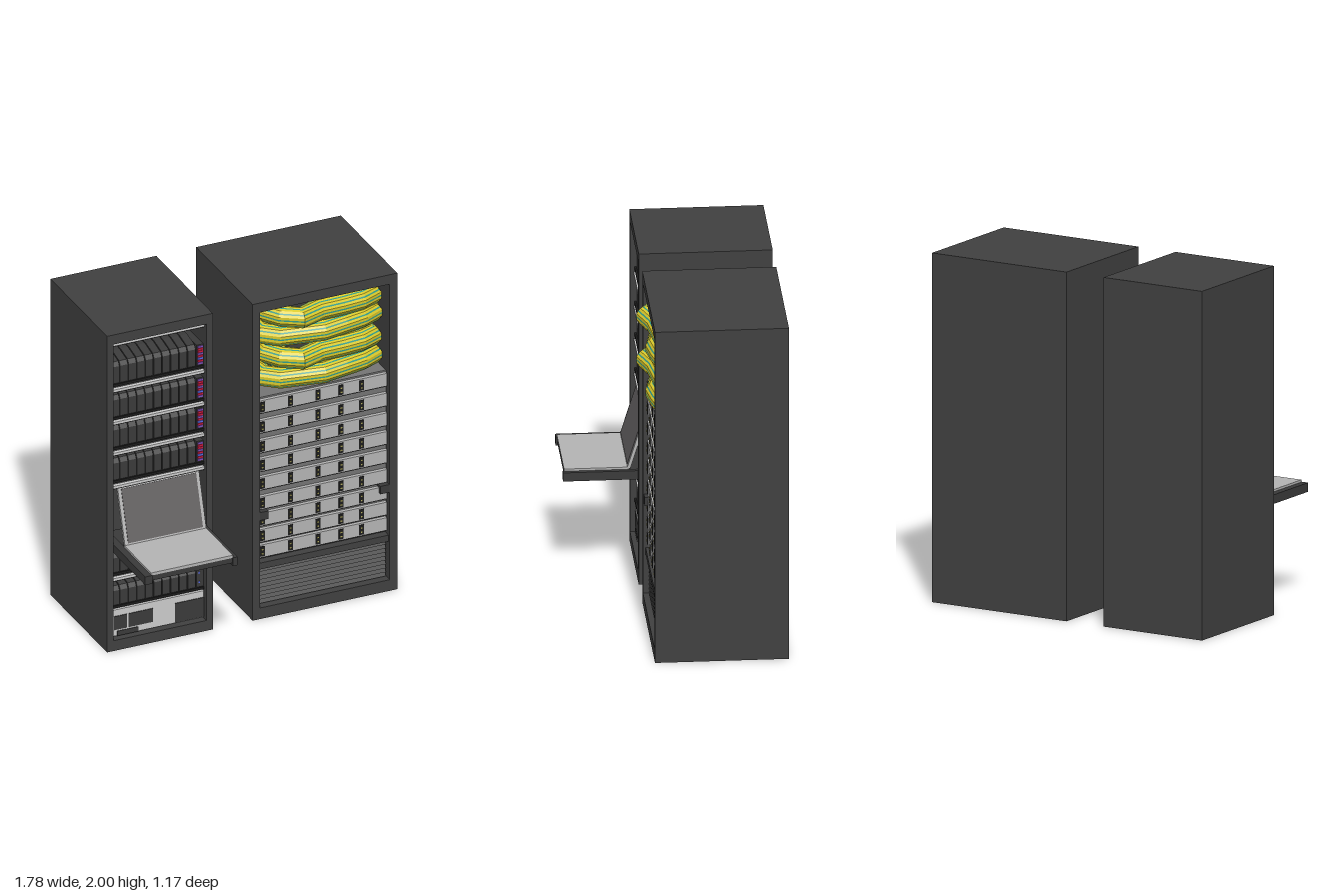
import * as THREE from 'three';

const mat = (color, side = THREE.FrontSide) =>
  new THREE.MeshStandardMaterial({ color, side, flatShading: true });
const M = {
  shell: mat(0x404040), dark: mat(0x3a3a3a), black: mat(0x1c1c1c), mid: mat(0x747474),
  light: mat(0xb4b4b4), pale: mat(0xcccccc), screen: mat(0x625f60),
  red: mat(0xd01840), violet: mat(0x8050c0), blue: mat(0x5a6cf0), lamp: mat(0xb8b060),
  yellow: mat(0xdccb2c, THREE.DoubleSide), teal: mat(0x2f9a8c, THREE.DoubleSide),
};
const FRONT = 0.165, BACK = -0.585;

// Box given by its limits on each axis
function box(parent, name, m, x0, x1, y0, y1, z0, z1) {
  const mesh = new THREE.Mesh(new THREE.BoxGeometry(x1 - x0, y1 - y0, z1 - z0), m);
  mesh.position.set((x0 + x1) / 2, (y0 + y1) / 2, (z0 + z1) / 2);
  mesh.name = name;
  parent.add(mesh);
  return mesh;
}

function group(parent, name) {
  const g = new THREE.Group();
  g.name = name;
  parent.add(g);
  return g;
}

function rect(Type, x0, x1, y0, y1) {
  return new Type([[x0, y0], [x1, y0], [x1, y1], [x0, y1]].map(p => new THREE.Vector2(...p)));
}

// Cabinet: a solid rear with a hollow front bay
function cabinet(parent, x0, x1, hole, bayBack) {
  const shape = rect(THREE.Shape, x0, x1, 0, 2);
  shape.holes.push(rect(THREE.Path, ...hole));
  const geo = new THREE.ExtrudeGeometry(shape, { depth: FRONT - bayBack, bevelEnabled: false });
  const frame = new THREE.Mesh(geo, M.shell);
  frame.position.z = bayBack;
  frame.name = 'cabinetFrame';
  parent.add(frame);
  box(parent, 'cabinetRear', M.shell, x0, x1, 0, 2, BACK, bayBack);
}

// Row of upright modules whose tops slope back
function bladeRow(parent, y0, y1, lights) {
  const row = group(parent, 'bladeRow');
  const n = 10, x0 = -0.85, pitch = 0.52 / n;
  const side = new THREE.Shape();
  [[-0.08, y0], [0.13, y0], [0.13, y1 - 0.025], [0.115, y1], [0.02, y1 + 0.02], [-0.08, y1 + 0.02]]
    .forEach(([z, y], i) => (i ? side.lineTo(-z, y) : side.moveTo(-z, y)));
  const geo = new THREE.ExtrudeGeometry(side, { depth: pitch - 0.005, bevelEnabled: false });
  for (let i = 0; i < n; i++) {
    const blade = new THREE.Mesh(geo, M.dark);
    blade.rotation.y = Math.PI / 2;
    blade.position.x = x0 + i * pitch;
    blade.name = 'blade';
    row.add(blade);
  }
  box(row, 'controlModule', M.dark, -0.33, -0.287, y0, y1, -0.08, 0.13);
  box(row, 'rowBase', M.black, -0.853, -0.287, y0 - 0.015, y0, -0.08, 0.14);
  if (lights) {
    const colors = [M.violet, M.red, M.blue, M.red, M.violet, M.red, M.red, M.violet];
    colors.forEach((m, i) => {
      const y = y0 + 0.008 + i * 0.0148;
      box(row, 'statusLight', m, -0.323, -0.292, y, y + 0.011, 0.13, 0.134);
    });
  } else {
    for (const y of [y0 + 0.025, y1 - 0.03])
      box(row, 'statusLight', M.blue, -0.318, -0.308, y, y + 0.01, 0.13, 0.134);
  }
}

// Band of a bundle's skin between two angles, swept along the path
function skin(points, radius, angles, m, name) {
  const rings = points.map((p, i) => {
    const a = points[Math.max(0, i - 1)], b = points[Math.min(points.length - 1, i + 1)];
    const t = b.clone().sub(a).normalize();
    const n = t.clone().cross(new THREE.Vector3(0, 1, 0)).normalize();
    const up = n.clone().cross(t);
    return angles.map(q => p.clone().addScaledVector(n, radius * Math.cos(q))
      .addScaledVector(up, radius * Math.sin(q)));
  });
  const v = [];
  for (let i = 0; i + 1 < rings.length; i++)
    for (let j = 0; j + 1 < angles.length; j++) {
      const [a, b, c, d] = [rings[i][j], rings[i + 1][j], rings[i + 1][j + 1], rings[i][j + 1]];
      for (const p of [a, b, c, a, c, d]) v.push(p.x, p.y, p.z);
    }
  const geo = new THREE.BufferGeometry();
  geo.setAttribute('position', new THREE.Float32BufferAttribute(v, 3));
  geo.computeVertexNormals();
  const mesh = new THREE.Mesh(geo, m);
  mesh.name = name;
  return mesh;
}

function cableBundle(parent, y, path) {
  const g = group(parent, 'cableBundle');
  const pts = path.map(([x, dy, z]) => new THREE.Vector3(x, y + dy, z));
  const sides = 10, step = Math.PI * 2 / sides;
  const angles = Array.from({ length: sides + 1 }, (_, i) => (i + 0.5) * step);
  g.add(skin(pts, 0.062, angles, M.yellow, 'cableSkin'));
  for (let i = 0; i < sides; i++) {
    const q = i * step;
    g.add(skin(pts, 0.0605, [q - 0.07, q + 0.07], M.teal, 'cableStripe'));
  }
}

function laptop(parent) {
  const g = group(parent, 'consoleTray');
  // Sliding rails and tray
  box(g, 'leftRail', M.dark, -0.315, -0.287, 0.62, 0.672, 0, 0.585);
  box(g, 'rightRail', M.dark, -0.855, -0.81, 0.62, 0.672, 0, 0.585);
  box(g, 'tray', M.dark, -0.82, -0.31, 0.635, 0.668, 0, 0.575);
  box(g, 'keyboardDeck', M.light, -0.815, -0.312, 0.668, 0.685, 0.215, 0.578);
  // Tilted screen
  const lid = group(g, 'screenLid');
  lid.position.set(-0.562, 0.68, 0.225);
  lid.rotation.x = -0.3;
  box(lid, 'screenBack', M.light, -0.25, 0.25, 0, 0.343, -0.018, 0);
  box(lid, 'screenPanel', M.screen, -0.23, 0.23, 0.015, 0.328, 0, 0.003);
}

export function createModel() {
  const model = new THREE.Group();
  model.name = 'serverRacks';

  // Narrow cabinet with blade rows and console
  const narrow = group(model, 'narrowRack');
  cabinet(narrow, -0.895, -0.245, [-0.855, -0.285, 0.065, 1.94], -0.08);
  for (const y of [1.67, 1.46, 1.27, 1.06]) bladeRow(narrow, y, y + 0.13, true);
  for (const y of [0.475, 0.268]) bladeRow(narrow, y, y + 0.115, false);
  for (const y of [1.925, 1.632, 1.427, 1.232, 1.022, 0.438]) {
    box(narrow, 'shelfLip', M.pale, -0.845, -0.287, y - 0.007, y + 0.007, 0.12, 0.145);
    box(narrow, 'shelf', M.dark, -0.853, -0.287, y - 0.015, y - 0.007, -0.08, 0.14);
  }
  laptop(narrow);

  // Power unit at the foot
  const power = group(narrow, 'powerUnit');
  box(power, 'powerFront', M.pale, -0.85, -0.287, 0.075, 0.24, -0.08, 0.135);
  for (const [x0, x1, y0, y1] of [[-0.84, -0.76, 0.115, 0.2], [-0.75, -0.6, 0.115, 0.2],
    [-0.465, -0.287, 0.08, 0.2], [-0.82, -0.69, 0.075, 0.105]])
    box(power, 'powerSocket', M.dark, x0, x1, y0, y1, 0.13, 0.139);

  // Wide cabinet with servers
  const wide = group(model, 'wideRack');
  cabinet(wide, 0, 0.89, [0.045, 0.843, 0.07, 1.94], -0.2);
  box(wide, 'serverBody', M.mid, 0.047, 0.841, 0.355, 1.375, -0.2, 0.118);
  for (const y of [1.325, 1.2, 1.075, 0.957, 0.84, 0.717, 0.612, 0.51, 0.412]) {
    const s = group(wide, 'server');
    box(s, 'serverFace', M.light, 0.047, 0.838, y - 0.04, y + 0.04, 0.1, 0.14);
    box(s, 'serverSeam', M.dark, 0.047, 0.838, y - 0.05, y - 0.043, 0.1, 0.128);
    for (const x of [0.07, 0.243, 0.412, 0.555, 0.68]) {
      box(s, 'port', M.black, x - 0.015, x + 0.015, y - 0.031, y + 0.031, 0.13, 0.144);
      for (const d of [-0.014, 0.012])
        box(s, 'portLamp', M.lamp, x - 0.005, x + 0.005, y + d - 0.004, y + d + 0.004, 0.14, 0.146);
    }
  }
  for (const x of [0.045, 0.788])
    box(wide, 'bracket', M.dark, x, x + 0.055, 0.62, 0.67, 0.1, 0.16);

  // Louvred vent panel
  box(wide, 'ventSill', M.shell, 0.045, 0.843, 0.305, 0.345, -0.2, 0.15);
  box(wide, 'ventBack', M.dark, 0.045, 0.843, 0.07, 0.31, -0.2, 0.1);
  for (let i = 0; i < 9; i++) {
    const slat = box(wide, 'ventSlat', M.shell, 0.055, 0.835, 0, 0.027, 0.12, 0.126);
    slat.position.y = 0.09 + i * 0.025;
    slat.rotation.x = -0.5;
  }

  // Cable bundles drooping across the top of the bay
  const bowed = [[0.2, 0.01, -0.19], [0.155, 0.005, -0.06], [0.155, 0.005, 0.03], [0.21, 0, 0.1],
    [0.3, 0, 0.163], [0.42, -0.003, 0.115], [0.57, -0.015, 0.09], [0.7, -0.02, 0.07],
    [0.79, -0.028, 0.03], [0.785, -0.032, -0.06], [0.77, -0.032, -0.19]];
  const flat = [[0.18, 0, -0.19], [0.135, 0, -0.06], [0.14, 0, 0.02], [0.21, 0, 0.08],
    [0.33, 0, 0.1], [0.45, 0.002, 0.124], [0.58, 0.008, 0.108], [0.7, 0.005, 0.08],
    [0.79, 0, 0.04], [0.785, 0, -0.06], [0.77, 0, -0.19]];
  cableBundle(wide, 1.85, bowed);
  cableBundle(wide, 1.717, flat);
  cableBundle(wide, 1.59, bowed);
  cableBundle(wide, 1.45, flat);

  return model;
}
